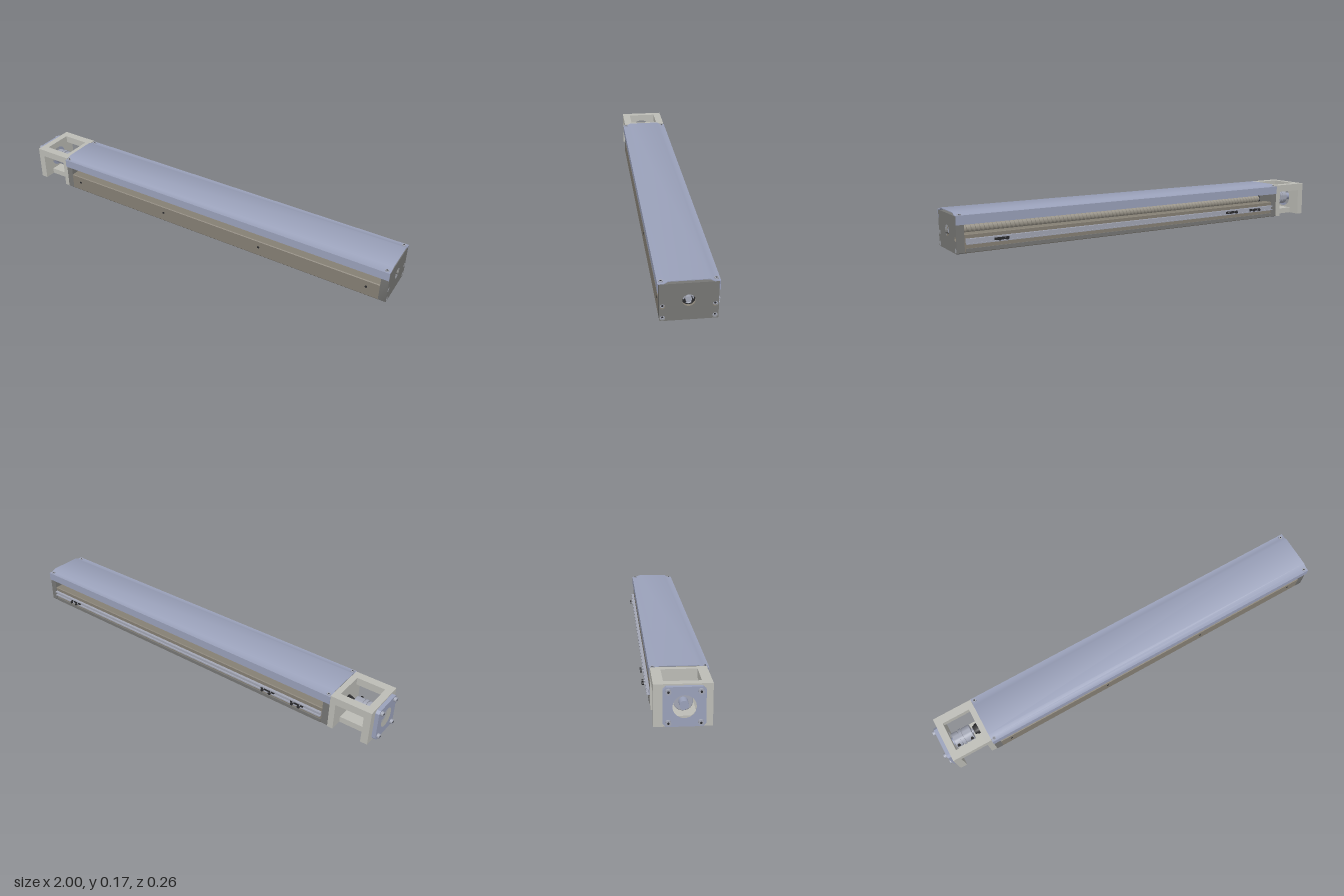
import * as THREE from 'three';
import { ParametricGeometry } from 'three/addons/geometries/ParametricGeometry.js';
import { toCreasedNormals } from 'three/addons/utils/BufferGeometryUtils.js';

const mat = (color) => new THREE.MeshStandardMaterial({ color });
const STEEL = mat(0x857f74), PLATE = mat(0x767674), CAST = mat(0xbcbcb6);
const COVER = mat(0x9aa1ba), DARK = mat(0x2a2a2c), SILVER = mat(0xa2a6b4);
const AXIS_Y = 0.085, AXIS_Z = 0.011;

export function createModel() {
  const model = new THREE.Group();

  const add = (name, geometry, material, parent = model) => {
    const mesh = new THREE.Mesh(geometry, material);
    mesh.name = name;
    parent.add(mesh);
    return mesh;
  };
  // Box given by its limits on each axis
  const box = (name, x0, x1, y0, y1, z0, z1, material) => {
    const m = add(name, new THREE.BoxGeometry(x1 - x0, y1 - y0, z1 - z0), material);
    m.position.set((x0 + x1) / 2, (y0 + y1) / 2, (z0 + z1) / 2);
    return m;
  };
  // Section of [z, y] points swept along x, with round holes [z, y, r]
  const sweep = (name, points, x0, x1, material, holes = []) => {
    const shape = new THREE.Shape(points.map(([z, y]) => new THREE.Vector2(-z, y)));
    for (const [z, y, r] of holes) {
      const path = new THREE.Path();
      path.absarc(-z, y, r, 0, Math.PI * 2, true);
      shape.holes.push(path);
    }
    let g = new THREE.ExtrudeGeometry(shape, { depth: x1 - x0, bevelEnabled: false, curveSegments: 16 });
    g = toCreasedNormals(g.rotateY(Math.PI / 2), 0.6);
    const m = add(name, g, material);
    m.position.x = x0;
    return m;
  };
  const rect = (z0, z1, y0, y1) => [[z0, y0], [z1, y0], [z1, y1], [z0, y1]];
  // Cylinder along x, y or z, between two limits of that axis
  const rod = (name, axis, a, b, r, p, q, material, sides = 24) => {
    const m = add(name, new THREE.CylinderGeometry(r, r, b - a, sides), material);
    const c = (a + b) / 2;
    if (axis === 'x') { m.rotation.z = -Math.PI / 2; m.position.set(c, p, q); }
    if (axis === 'y') m.position.set(p, c, q);
    if (axis === 'z') { m.rotation.x = Math.PI / 2; m.position.set(p, q, c); }
    return m;
  };
  // Stack of discs along the drive axis
  const turned = (name, profile, material) => {
    const pts = profile.map(([r, x]) => new THREE.Vector2(r, x));
    const g = toCreasedNormals(new THREE.LatheGeometry(pts, 32).rotateZ(-Math.PI / 2), 0.6);
    const m = add(name, g, material);
    material.side = THREE.DoubleSide;
    m.position.set(0, AXIS_Y, AXIS_Z);
    return m;
  };

  // U-shaped base rail with ball grooves inside and a shallow relief below
  const half = [[0.033, 0.003], [0.037, 0], [0.109, 0], [0.112, 0.004], [0.112, 0.078], [0.108, 0.081],
    [0.066, 0.081], [0.066, 0.066], [0.071, 0.061], [0.071, 0.054], [0.066, 0.049], [0.066, 0.03]];
  const section = [...half, ...half.map(([z, y]) => [-z, y]).reverse()].map(([z, y]) => [z + AXIS_Z, y]);
  sweep('baseRail', section, -0.742, 0.965, STEEL);

  // Mounting holes on the front wall and underside
  for (const x of [-0.69, -0.16, 0.375, 0.905]) {
    rod('sideHole', 'z', 0.12, 0.1235, 0.006, x, 0.047, DARK, 16);
  }
  for (let i = 0; i < 8; i++) {
    for (const z of [-0.07, 0.092]) rod('bottomHole', 'y', -0.0003, 0.003, 0.006, -0.66 + i * 0.22, z, DARK, 16);
  }

  // Helically threaded drive screw
  const x0 = -0.74, length = 1.71, turns = 85;
  const thread = new ParametricGeometry((u, v, target) => {
    const a = v * Math.PI * 2;
    const phase = Math.cos(u * turns * Math.PI * 2 - a);
    const r = 0.0185 + 0.0025 * Math.max(-0.8, Math.min(0.8, phase * 1.6));
    target.set(x0 + u * length, AXIS_Y + r * Math.cos(a), AXIS_Z + r * Math.sin(a));
  }, turns * 8, 20);
  const screwMat = mat(0x9a958a);
  screwMat.side = THREE.DoubleSide;
  add('driveScrew', thread, screwMat);

  // Bearing plates at both ends
  const bearing = [AXIS_Z, AXIS_Y, 0.025];
  const bolts = [[0.111, 0.063], [0.111, 0.013], [-0.09, 0.063], [-0.09, 0.013]];
  const platePoints = [[-0.1, 0], [0.12, 0], [0.123, 0.003], [0.123, 0.16], [-0.103, 0.16], [-0.103, 0.003]];
  const boltHoles = bolts.map(([z, y]) => [z, y, 0.0105]);
  sweep('endPlate', platePoints, 0.965, 1, PLATE, [bearing, ...boltHoles]);
  sweep('drivePlate', platePoints, -0.775, -0.742, PLATE, [bearing]);
  turned('endBearing', [[0.0255, 0.97], [0.0255, 0.988], [0.021, 0.988], [0.021, 0.984], [0.015, 0.984], [0.015, 0.97]], DARK);
  rod('screwEnd', 'x', 0.96, 0.993, 0.0125, AXIS_Y, AXIS_Z, SILVER);
  for (let i = 0; i < 3; i++) {
    const clip = add('retainingClip', new THREE.TorusGeometry(0.0185, 0.003, 8, 10, 1.1), SILVER);
    clip.rotation.set(i * 2.09, Math.PI / 2, 0, 'XYZ');
    clip.position.set(0.987, AXIS_Y, AXIS_Z);
  }
  for (const [z, y] of bolts) {
    rod('plateBolt', 'x', 0.966, 0.994, 0.0085, y, z, SILVER, 16);
    rod('boltSocket', 'x', 0.99, 0.9945, 0.0045, y, z, DARK, 6);
  }

  // Bent sheet cover: outer skin, then the same line set in by its thickness
  const outer = [[0.119, 0.123], [0.119, 0.163], [0.097, 0.163], [0.079, 0.173]];
  const inner = [[0.116, 0.123], [0.116, 0.16], [0.096, 0.16], [0.078, 0.17]];
  const mirror = (pts) => pts.map(([z, y]) => [-z, y]).reverse();
  const skin = [...outer, ...mirror(outer), ...inner.map(([z, y]) => [-z, y]), ...[...inner].reverse()];
  sweep('topCover', skin.map(([z, y]) => [z + AXIS_Z, y]), -0.775, 1, COVER);
  for (const x of [-0.76, 0.982]) {
    for (const z of [-0.094, 0.116]) {
      rod('coverScrew', 'y', 0.16, 0.167, 0.009, x, z, SILVER, 16);
      rod('coverScrewSocket', 'y', 0.163, 0.1674, 0.004, x, z, DARK, 6);
    }
  }

  // Motor bracket: two walls, open top frame and narrow floor
  const opening = [AXIS_Z, AXIS_Y, 0.05];
  sweep('bracketOuterWall', rect(-0.105, 0.12, 0, 0.168), -0.97, -0.937, CAST, [opening]);
  sweep('bracketInnerWall', rect(-0.105, 0.12, 0, 0.168), -0.802, -0.775, CAST, [[AXIS_Z, AXIS_Y, 0.03]]);
  box('bracketTopFront', -0.937, -0.802, 0.132, 0.168, 0.08, 0.12, CAST);
  box('bracketTopBack', -0.937, -0.802, 0.132, 0.168, -0.105, -0.065, CAST);
  box('bracketFloor', -0.937, -0.802, 0, 0.028, -0.045, 0.066, CAST);

  // Motor adapter flange with clipped corners, corner screws and a pilot ring
  const flange = [[-0.058, 0.006], [0.08, 0.006], [0.092, 0.018], [0.092, 0.15], [0.08, 0.162],
    [-0.058, 0.162], [-0.07, 0.15], [-0.07, 0.018]];
  sweep('motorFlange', flange, -0.988, -0.97, COVER, [[AXIS_Z, AXIS_Y, 0.045]]);
  for (const z of [-0.05, 0.072]) {
    for (const y of [0.024, 0.146]) {
      rod('flangeScrew', 'x', -1, -0.987, 0.011, y, z, SILVER, 16);
      rod('flangeScrewSocket', 'x', -1.0003, -0.99, 0.005, y, z, DARK, 6);
    }
  }

  // Shaft coupling with clamping grooves
  turned('coupling', [[0.012, -0.932], [0.036, -0.932], [0.038, -0.93], [0.038, -0.902], [0.033, -0.902], [0.033, -0.897],
    [0.04, -0.897], [0.04, -0.884], [0.033, -0.884], [0.033, -0.879], [0.038, -0.879], [0.038, -0.842], [0.036, -0.84],
    [0.012, -0.84], [0.012, -0.932]], SILVER);
  for (const x of [-0.92, -0.852]) rod('couplingClampScrew', 'z', 0.02, 0.05, 0.007, x, AXIS_Y + 0.017, DARK, 12);
  rod('motorShaft', 'x', -0.975, -0.93, 0.018, AXIS_Y, AXIS_Z, COVER);
  rod('screwJournal', 'x', -0.84, -0.73, 0.012, AXIS_Y, AXIS_Z, SILVER);
  turned('bearingNut', [[0.012, -0.83], [0.02, -0.83], [0.026, -0.812], [0.026, -0.75], [0.012, -0.75]], DARK);

  // Sensor channel along the back, with two clamp screws at each sensor
  const channel = [[-0.103, 0.039], [-0.116, 0.039], [-0.116, 0.045], [-0.114, 0.045], [-0.114, 0.042], [-0.106, 0.042],
    [-0.106, 0.06], [-0.114, 0.06], [-0.114, 0.057], [-0.116, 0.057], [-0.116, 0.063], [-0.103, 0.063]];
  sweep('sensorChannel', channel, -0.74, 0.96, SILVER);
  box('cableStrip', -0.74, 0.96, 0.004, 0.02, -0.106, -0.101, PLATE);
  for (const [a, b] of [[-0.635, -0.6], [-0.48, -0.44], [0.785, 0.82]]) {
    box('sensor', a - 0.015, b + 0.015, 0.044, 0.058, -0.114, -0.106, DARK);
    for (const x of [a, b]) {
      rod('sensorScrew', 'z', -0.124, -0.106, 0.0035, x, 0.051, SILVER, 12);
      rod('sensorScrewHead', 'z', -0.13, -0.122, 0.0065, x, 0.051, DARK, 12);
    }
  }
  return model;
}
